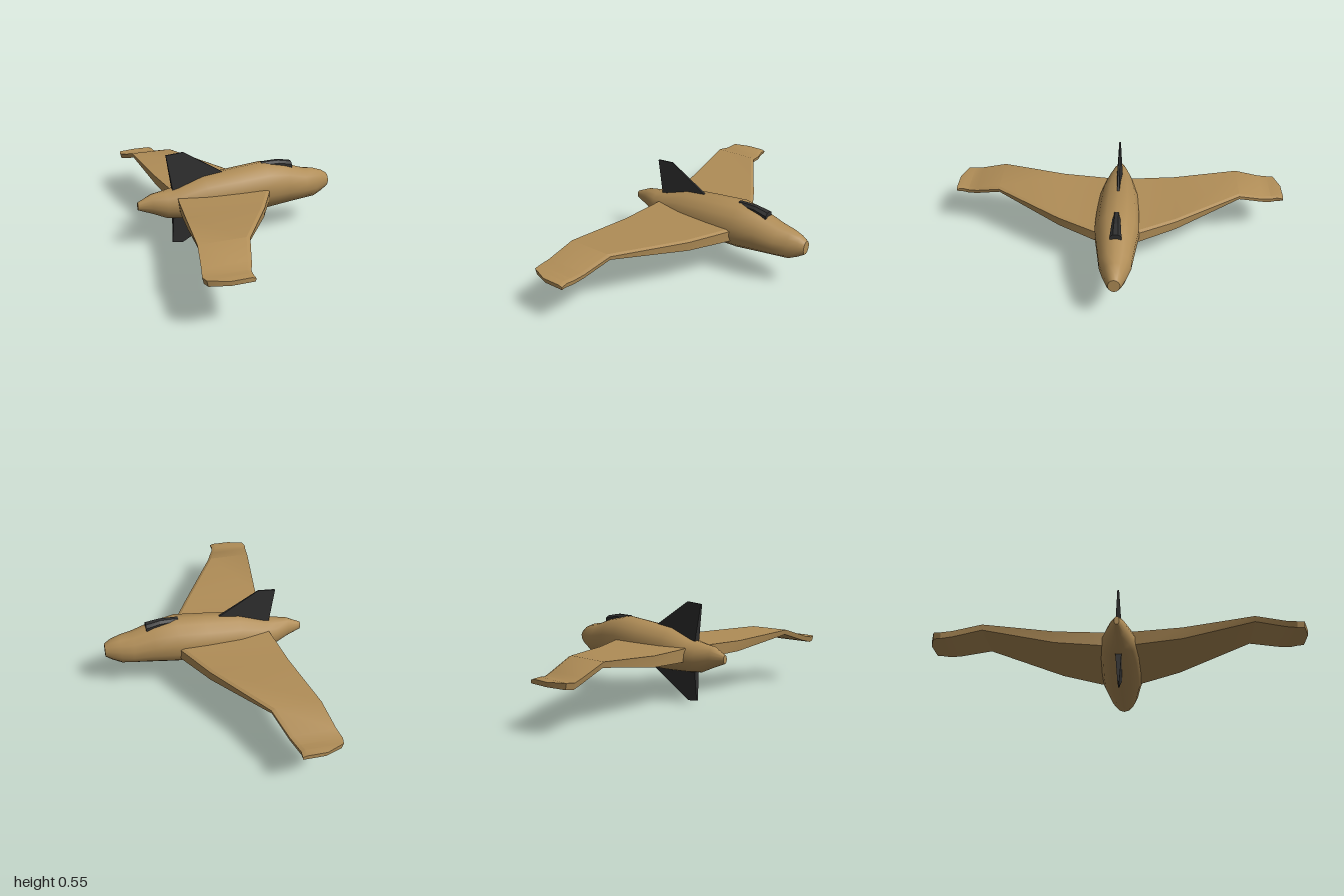
import * as THREE from 'three';
import { toCreasedNormals } from 'three/addons/utils/BufferGeometryUtils.js';

const tan = new THREE.MeshStandardMaterial({ color: 0xb08d57 });
const dark = new THREE.MeshStandardMaterial({ color: 0x2e2e2e });

// Skin a list of equal-length loops, each counter-clockwise seen from the far end, and cap both ends.
function loft(name, loops, material, crease) {
  const n = loops[0].length;
  const index = [];
  for (let i = 0; i < loops.length - 1; i++) {
    for (let j = 0; j < n; j++) {
      const k = (j + 1) % n;
      const a = i * n + j, b = a + n, c = i * n + k, d = c + n;
      index.push(a, c, b, b, c, d);
    }
  }
  const last = (loops.length - 1) * n;
  for (let j = 1; j < n - 1; j++) {
    index.push(0, j + 1, j, last, last + j, last + j + 1);
  }
  const geo = new THREE.BufferGeometry();
  geo.setAttribute('position', new THREE.Float32BufferAttribute(loops.flat(2), 3));
  geo.setIndex(index);
  const mesh = new THREE.Mesh(toCreasedNormals(geo, crease), material);
  mesh.name = name;
  return mesh;
}

// Fuselage: oval rings from tail to nose
function fuselage() {
  const rings = [ // x, bottom, top, half width
    [-0.58, 0.237, 0.283, 0.014],
    [-0.5, 0.205, 0.322, 0.042],
    [-0.42, 0.17, 0.333, 0.075],
    [-0.35, 0.162, 0.346, 0.095],
    [-0.2, 0.153, 0.395, 0.115],
    [0, 0.152, 0.416, 0.126],
    [0.17, 0.152, 0.433, 0.128],
    [0.3, 0.165, 0.408, 0.108],
    [0.42, 0.177, 0.366, 0.09],
    [0.49, 0.18, 0.355, 0.068],
    [0.545, 0.208, 0.336, 0.049],
    [0.58, 0.232, 0.312, 0.033],
  ];
  const sides = 14;
  const loops = rings.map(([x, lo, hi, w]) =>
    Array.from({ length: sides }, (_, j) => {
      const a = (j / sides) * Math.PI * 2;
      return [x, (lo + hi) / 2 + Math.cos(a) * (hi - lo) / 2, Math.sin(a) * w];
    }));
  return loft('fuselage', loops, tan, 0.75);
}

// Wing: swept gull shape, rising to a kink and then drooping; the right one sits slightly lower
function wing(side) {
  const stations = [ // z, leading x, trailing x, bottom, top
    [0.03, 0.2, -0.36, 0.228, 0.306],
    [0.13, 0.16, -0.375, 0.233, 0.305],
    [0.34, 0.045, -0.4, 0.245, 0.307],
    [0.72, -0.185, -0.452, 0.31, 0.339],
    [0.87, -0.235, -0.48, 0.262, 0.292],
    [0.925, -0.257, -0.494, 0.248, 0.28],
    [0.965, -0.265, -0.485, 0.252, 0.284],
    [1, -0.262, -0.39, 0.257, 0.28],
  ];
  const loops = stations.map(([z, lead, trail, lo, hi]) => {
    const dy = side < 0 ? -0.025 * z : 0;
    const loop = [
      [lead - 0.004, lo + dy, side * z],
      [lead, hi - 0.008 + dy, side * z],
      [lead - 0.02, hi + dy, side * z],
      [trail, hi + dy, side * z],
      [trail + 0.008, lo + dy, side * z],
    ];
    return side > 0 ? loop : loop.reverse();
  });
  return loft(side > 0 ? 'leftWing' : 'rightWing', loops, tan, 0.4);
}

// Tail fin: a wedge, thicker at the back, between a root edge and a tip edge
function fin(name, root, tip, up) {
  const edge = ([fx, fy, bx, by], front, back) => {
    const loop = [[fx, fy, front], [fx, fy, -front], [bx, by, -back], [bx, by, back]];
    return up ? loop : loop.reverse();
  };
  return loft(name, [edge(root, 0.007, 0.018), edge(tip, 0.003, 0.005)], dark, 0.1);
}

// Canopy: dark faceted hump behind the nose
function canopy() {
  const ribs = [ // x, top, half width
    [0.155, 0.434, 0.02],
    [0.26, 0.435, 0.026],
    [0.34, 0.42, 0.032],
  ];
  const loops = ribs.map(([x, top, w]) =>
    [[x, top, -w * 0.45], [x, top, w * 0.45], [x, top - 0.014, w], [x, 0.36, w], [x, 0.36, -w], [x, top - 0.014, -w]]);
  return loft('canopy', loops, dark, 0.1);
}

export function createModel() {
  const model = new THREE.Group();
  model.name = 'glider';
  model.add(
    fuselage(),
    wing(1),
    wing(-1),
    fin('upperFin', [-0.07, 0.397, -0.378, 0.32], [-0.31, 0.548, -0.41, 0.54], true),
    fin('lowerFin', [-0.03, 0.172, -0.38, 0.19], [-0.325, 0, -0.387, 0.008], false),
    canopy(),
  );
  return model;
}
